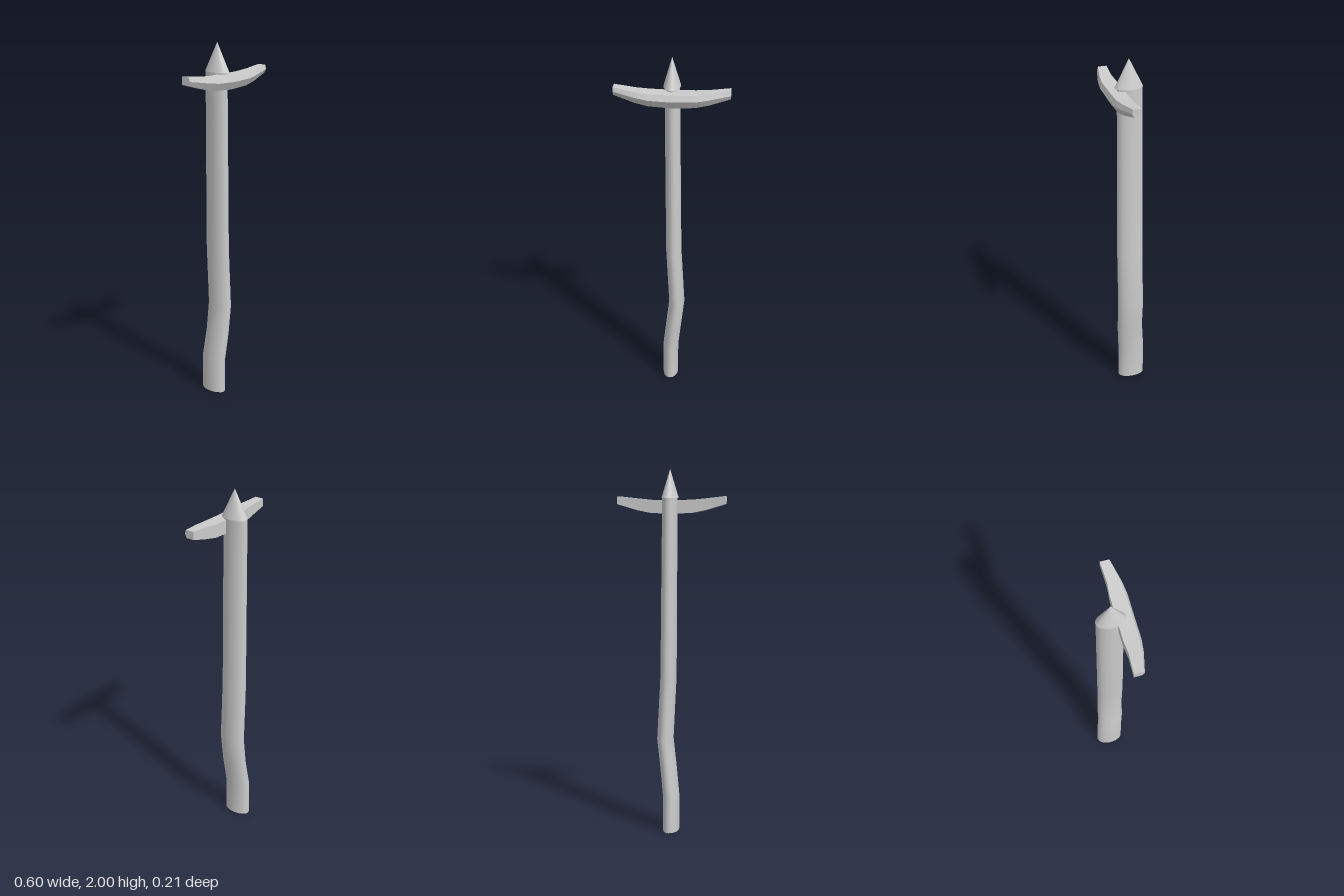
import * as THREE from 'three';
import { toCreasedNormals } from 'three/addons/utils/BufferGeometryUtils.js';

// Skin a row of equal-length rings of [x, y, z] points and cap both ends.
function loft(rings, crease) {
  const n = rings[0].length, last = (rings.length - 1) * n, index = [];
  for (let i = 0; i < rings.length - 1; i++) {
    for (let j = 0; j < n; j++) {
      const a = i * n + j, b = i * n + (j + 1) % n;
      index.push(a, a + n, b, b, a + n, b + n);
    }
  }
  for (let j = 1; j < n - 1; j++) {
    index.push(0, j, j + 1, last, last + j + 1, last + j);
  }
  const geo = new THREE.BufferGeometry();
  geo.setAttribute('position', new THREE.Float32BufferAttribute(rings.flat(2), 3));
  geo.setIndex(index);
  return toCreasedNormals(geo, crease);
}

export function createModel() {
  const group = new THREE.Group();
  const material = new THREE.MeshStandardMaterial({ color: 0xcccccc });
  const add = (name, geo) => {
    const mesh = new THREE.Mesh(geo, material);
    mesh.name = name;
    group.add(mesh);
    return mesh;
  };

  // Crooked oval shaft: height, centre x, centre z, half width, half depth
  const sections = [
    [0, -0.014, -0.029, 0.044, 0.077],
    [0.2, -0.014, -0.029, 0.044, 0.077],
    [0.36, 0.004, -0.017, 0.044, 0.075],
    [0.52, 0.022, -0.016, 0.044, 0.075],
    [0.87, 0.004, -0.016, 0.043, 0.074],
    [1.845, -0.004, -0.017, 0.04, 0.07],
  ];
  add('shaft', loft(sections.map(([y, cx, cz, rx, rz]) =>
    Array.from({ length: 16 }, (_, k) => {
      const t = k / 16 * Math.PI * 2;
      return [cx + rx * Math.cos(t), y, cz + rz * Math.sin(t)];
    })), 0.9));

  // Oval pointed tip
  const tip = add('tip', new THREE.ConeGeometry(1, 0.155, 32));
  tip.scale.set(0.045, 1, 0.076);
  tip.position.set(-0.004, 1.9225, -0.012);

  // Upswept crossbar, mirrored about the middle; each section gives
  // x, back z, upper front z, ridge z, lower front z, top y, ridge y, bottom y
  const half = [
    [0.12, 0.017, 0.095, 0.107, 0.083, 1.836, 1.806, 1.766],
    [0.19, 0.023, 0.088, 0.098, 0.077, 1.843, 1.816, 1.78],
    [0.3, 0.017, 0.065, 0.071, 0.06, 1.855, 1.833, 1.812],
  ];
  const middle = [0, 0.017, 0.095, 0.107, 0.083, 1.834, 1.801, 1.759];
  const mirrored = half.map(([x, ...rest]) => [-x, ...rest]).reverse();
  add('crossbar', loft([...mirrored, middle, ...half].map(
    ([x, back, upper, ridge, lower, top, mid, bottom]) => [
      [x, bottom, back], [x, bottom, lower], [x, mid, ridge],
      [x, top, upper], [x, top, back],
    ]), 0.5));

  return group;
}
